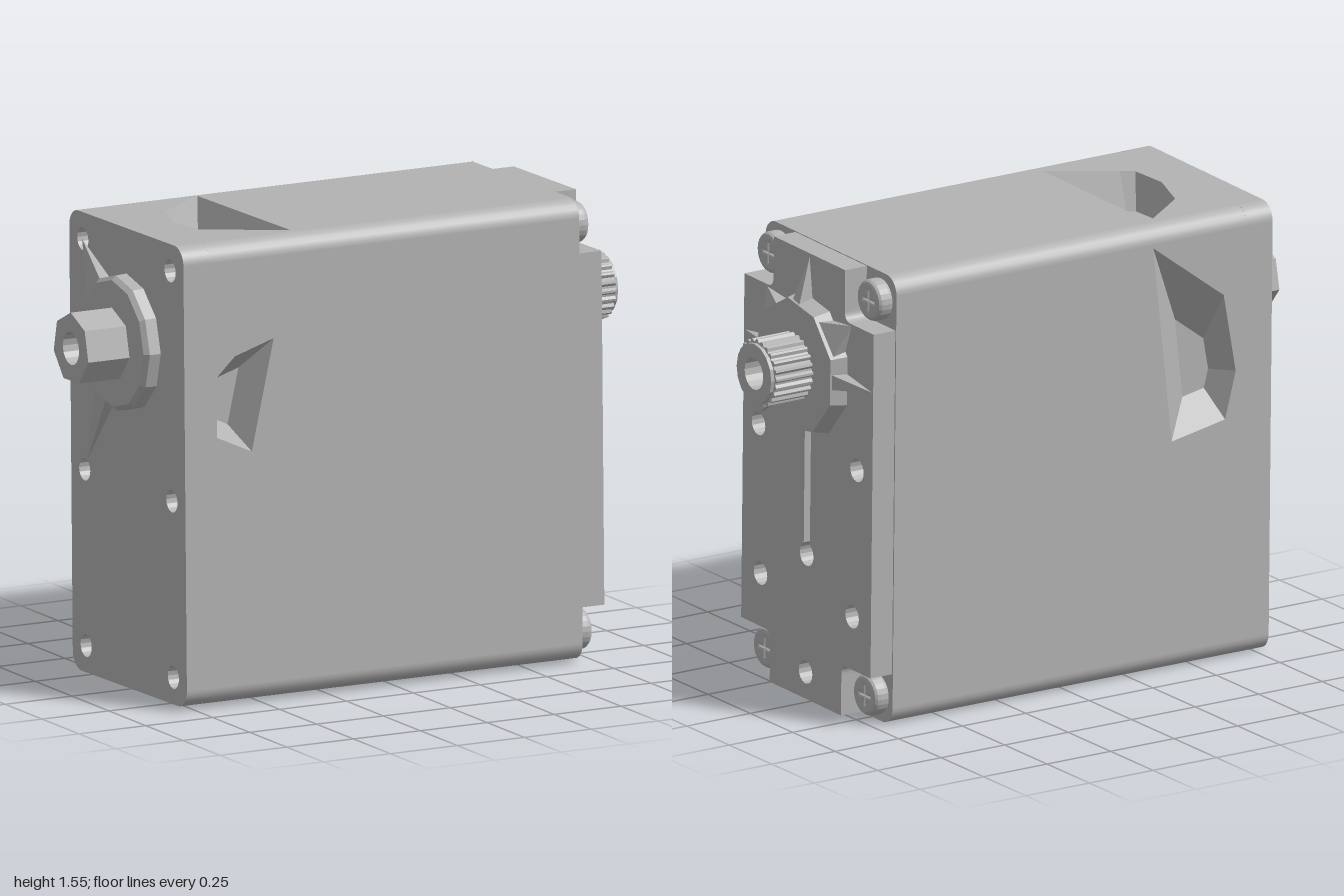
import * as THREE from 'three';
import { ConvexGeometry } from 'three/addons/geometries/ConvexGeometry.js';

const HY = 0.77, HZ = 0.386, R = 0.06;      // half height, half width, edge radius
const X0 = -0.79, X1 = -0.69, X2 = 0.69, X3 = 0.775;
const SHAFT_Y = 0.39;

export function createModel() {
  const grey = new THREE.MeshStandardMaterial({ color: 0xb3b3b3, side: THREE.DoubleSide });
  grey.name = 'grey';

  const root = new THREE.Group();
  root.name = 'geared motor';
  root.position.y = 0.78;
  root.rotation.x = -0.0165;

  const add = (geo, name, parent = root) => {
    const m = new THREE.Mesh(geo, grey);
    m.name = name;
    parent.add(m);
    return m;
  };
  // Shapes are drawn as (-z, y); this turns them to face +x and sets their x
  const faceX = (geo, x) => geo.rotateY(Math.PI / 2).translate(x, 0, 0);
  const extrude = (shape, depth, extra = {}) =>
    new THREE.ExtrudeGeometry(shape, { depth, bevelEnabled: false, curveSegments: 8, ...extra });
  const circle = (u, v, r, C = THREE.Path) => {
    const p = new C();
    p.absarc(u, v, r, 0, Math.PI * 2);
    return p;
  };
  const poly = (pts, C = THREE.Shape) => new C(pts.map(p => new THREE.Vector2(...p)));
  const roundedRect = () => {
    const s = new THREE.Shape(), q = Math.PI / 2;
    [[1, 1], [-1, 1], [-1, -1], [1, -1]].forEach(([a, b], i) =>
      s.absarc(a * (HZ - R), b * (HY - R), R, i * q, (i + 1) * q));
    s.closePath();
    return s;
  };
  const flat = pts => {
    const g = new THREE.BufferGeometry().setFromPoints(pts);
    g.computeVertexNormals();
    return g;
  };

  // Rear plate with six blind screw holes
  const rear = roundedRect();
  for (const u of [-0.295, 0.295])
    for (const v of [-0.68, -0.09, 0.68]) rear.holes.push(circle(u, v, 0.038));
  add(faceX(extrude(rear, X1 - X0), X0), 'rearPlate');
  add(faceX(new THREE.ShapeGeometry(roundedRect()), X1), 'rearHoleFloor');
  add(faceX(new THREE.ShapeGeometry(roundedRect()), X2), 'caseFront');

  // Rounded long edges of the case
  const len = X2 - X1, mid = (X1 + X2) / 2;
  [[-1, 1], [-1, -1], [1, -1], [1, 1]].forEach(([sy, sz], k) => {
    const g = new THREE.CylinderGeometry(R, R, len, 6, 1, true, k * Math.PI / 2, Math.PI / 2);
    g.rotateZ(-Math.PI / 2).translate(mid, sy * (HY - R), sz * (HZ - R));
    add(g, 'caseEdge');
  });

  // Flat case side with an optional sunken pocket narrowing to a deep floor
  function panel(name, half, dist, flip, outline, centre, scale, depth) {
    const g = new THREE.Group();
    g.name = name;
    const a = flip * X1, b = flip * X2;
    const s = poly([[a, -half], [b, -half], [b, half], [a, half]]);
    if (outline) {
      s.holes.push(poly(outline, THREE.Path));
      const rim = outline.map(p => new THREE.Vector3(p[0], p[1], dist));
      const low = outline.map(p => new THREE.Vector3(
        centre[0] + (p[0] - centre[0]) * scale, centre[1] + (p[1] - centre[1]) * scale, dist - depth));
      const tris = [];
      rim.forEach((p, i) => {
        const j = (i + 1) % rim.length;
        tris.push(p, rim[j], low[j], p, low[j], low[i]);
      });
      add(flat(tris), name + 'PocketWall', g);
      const floor = new THREE.ShapeGeometry(poly(low.map(p => [p.x, p.y])));
      add(floor.translate(0, 0, dist - depth), name + 'PocketFloor', g);
    }
    add(new THREE.ShapeGeometry(s).translate(0, 0, dist), name + 'Skin', g);
    root.add(g);
    return g;
  }
  const lower = pts => pts.map(([x, y]) => [x, y - 0.78]);
  panel('leftOfCase', HY - R, HZ, 1,
    lower([[-0.455, 1.215], [-0.6, 1.17], [-0.665, 1.11], [-0.67, 0.905], [-0.54, 0.845]]),
    [-0.61, 0.22], 0.5, 0.1);
  panel('rightOfCase', HY - R, HZ, -1,
    lower([[0.32, 1.48], [0.4, 0.8], [0.61, 0.84], [0.65, 1.0], [0.6, 1.27]]),
    [0.58, 0.2], 0.4, 0.1).rotation.y = Math.PI;
  panel('topOfCase', HZ - R, HY, 1,
    [[-0.345, 0.324], [-0.55, 0.17], [-0.61, 0.0], [-0.6, -0.14], [-0.56, -0.17], [-0.345, -0.3]],
    [-0.52, 0], 0.65, 0.12).rotation.x = -Math.PI / 2;
  panel('bottomOfCase', HZ - R, HY, 1).rotation.x = Math.PI / 2;

  // Front cover: notched corners, five holes and a keyhole slot
  const nz = 0.21, ny = 0.592, f = 0.035, w = HZ - 0.005, h = HY - 0.003;
  const cover = new THREE.Shape();
  cover.moveTo(w, -ny);
  cover.lineTo(w, ny);
  cover.lineTo(nz + f, ny);
  cover.quadraticCurveTo(nz, ny, nz, ny + f);
  cover.lineTo(nz, h);
  cover.lineTo(-nz, h);
  cover.lineTo(-nz, ny + f);
  cover.quadraticCurveTo(-nz, ny, -nz - f, ny);
  cover.lineTo(-w, ny);
  cover.lineTo(-w, -ny);
  cover.lineTo(-nz - f, -ny);
  cover.quadraticCurveTo(-nz, -ny, -nz, -ny - f);
  cover.lineTo(-nz, -h);
  cover.lineTo(nz, -h);
  cover.lineTo(nz, -ny - f);
  cover.quadraticCurveTo(nz, -ny, nz + f, -ny);
  cover.closePath();
  for (const [u, v] of [[-0.29, 0.1], [0.29, 0.1], [-0.27, -0.41], [0.27, -0.41], [0, -0.675]])
    cover.holes.push(circle(u, v, 0.04));
  const slot = new THREE.Path();
  slot.moveTo(0.018, 0.2);
  slot.lineTo(-0.018, 0.2);
  slot.absarc(0, -0.27, 0.04, Math.PI / 2 + 0.47, Math.PI * 2.5 - 0.47);
  slot.closePath();
  cover.holes.push(slot);
  add(faceX(extrude(cover, X3 - X2), X2), 'frontCover');

  // Domed corner screws with a cross recess
  const c = 0.012, L = 0.042;
  const head = circle(0, 0, 0.056, THREE.Shape);
  head.holes.push(poly([[c, c], [L, c], [L, -c], [c, -c], [c, -L], [-c, -L],
    [-c, -c], [-L, -c], [-L, c], [-c, c], [-c, L], [c, L]], THREE.Path));
  const headGeo = faceX(extrude(head, 0.022,
    { bevelEnabled: true, bevelThickness: 0.02, bevelSize: 0.014, bevelSegments: 3, curveSegments: 12 }), 0);
  for (const sy of [-1, 1])
    for (const sz of [-1, 1])
      add(headGeo, 'cornerScrew').position.set(0.7, sy * 0.68, sz * 0.295);

  // Faceted fin running from a boss rim down to a point on the case
  function fin(name, xBase, xTop, r, z, y, spread) {
    const a = Math.atan2(y - SHAFT_Y, z), pts = [new THREE.Vector3(xBase, y, z)];
    for (const s of [-spread, spread])
      for (const x of [xBase, xTop])
        pts.push(new THREE.Vector3(x, SHAFT_Y + r * Math.sin(a + s), r * Math.cos(a + s)));
    add(new ConvexGeometry(pts), name);
  }
  // Faceted boss lying along x
  function boss(name, xBase, xTop, rBase, rTop, sides) {
    const g = new THREE.CylinderGeometry(rTop, rBase, Math.abs(xTop - xBase), sides).toNonIndexed();
    g.computeVertexNormals();
    g.rotateZ(xTop > xBase ? -Math.PI / 2 : Math.PI / 2).translate((xBase + xTop) / 2, SHAFT_Y, 0);
    add(g, name);
  }

  // Front boss, fins and splined output shaft
  boss('frontBoss', X3 - 0.01, 0.833, 0.245, 0.228, 9);
  for (const [z, y, s] of [[0.38, 0.4, 0.13], [-0.38, 0.39, 0.12], [0, 0.76, 0.1],
    [0.28, 0.14, 0.12], [0.25, 0.585, 0.35], [-0.25, 0.585, 0.35]])
    fin('frontBossFin', X3 - 0.002, 0.828, 0.215, z, y, s);
  const teeth = [];
  for (let i = 0; i < 96; i++) {
    const a = i / 96 * Math.PI * 2, r = i % 4 < 2 ? 0.115 : 0.106;
    teeth.push([r * Math.cos(a), r * Math.sin(a)]);
  }
  const spline = poly(teeth);
  spline.holes.push(circle(0, 0, 0.055));
  add(faceX(extrude(spline, 0.145), 0.832), 'outputShaft').position.y = SHAFT_Y;
  const lip = circle(0, 0, 0.102, THREE.Shape);
  lip.holes.push(circle(0, 0, 0.055));
  add(faceX(extrude(lip, 0.015), 0.975), 'outputShaftLip').position.y = SHAFT_Y;
  add(faceX(new THREE.CircleGeometry(0.06, 20), 0.9), 'outputShaftBore').position.y = SHAFT_Y;

  // Rear boss, fins and hollow faceted pivot
  boss('rearBoss', X0, -0.83, 0.228, 0.226, 12);
  boss('rearBossRim', -0.83, -0.846, 0.226, 0.212, 12);
  fin('rearBossFin', X0, -0.83, 0.215, -0.28, -0.06, 0.2);
  fin('rearBossFin', X0, -0.83, 0.215, -0.3, 0.68, 0.3);
  const pivot = poly([0, 1, 2, 3, 4, 5, 6].map(i => {
    const a = (i + 0.75) / 7 * Math.PI * 2;
    return [0.12 * Math.cos(a), 0.12 * Math.sin(a)];
  }));
  pivot.holes.push(circle(0, 0, 0.055));
  add(faceX(extrude(pivot, 0.156), -1), 'rearPivot').position.y = SHAFT_Y;

  return root;
}
